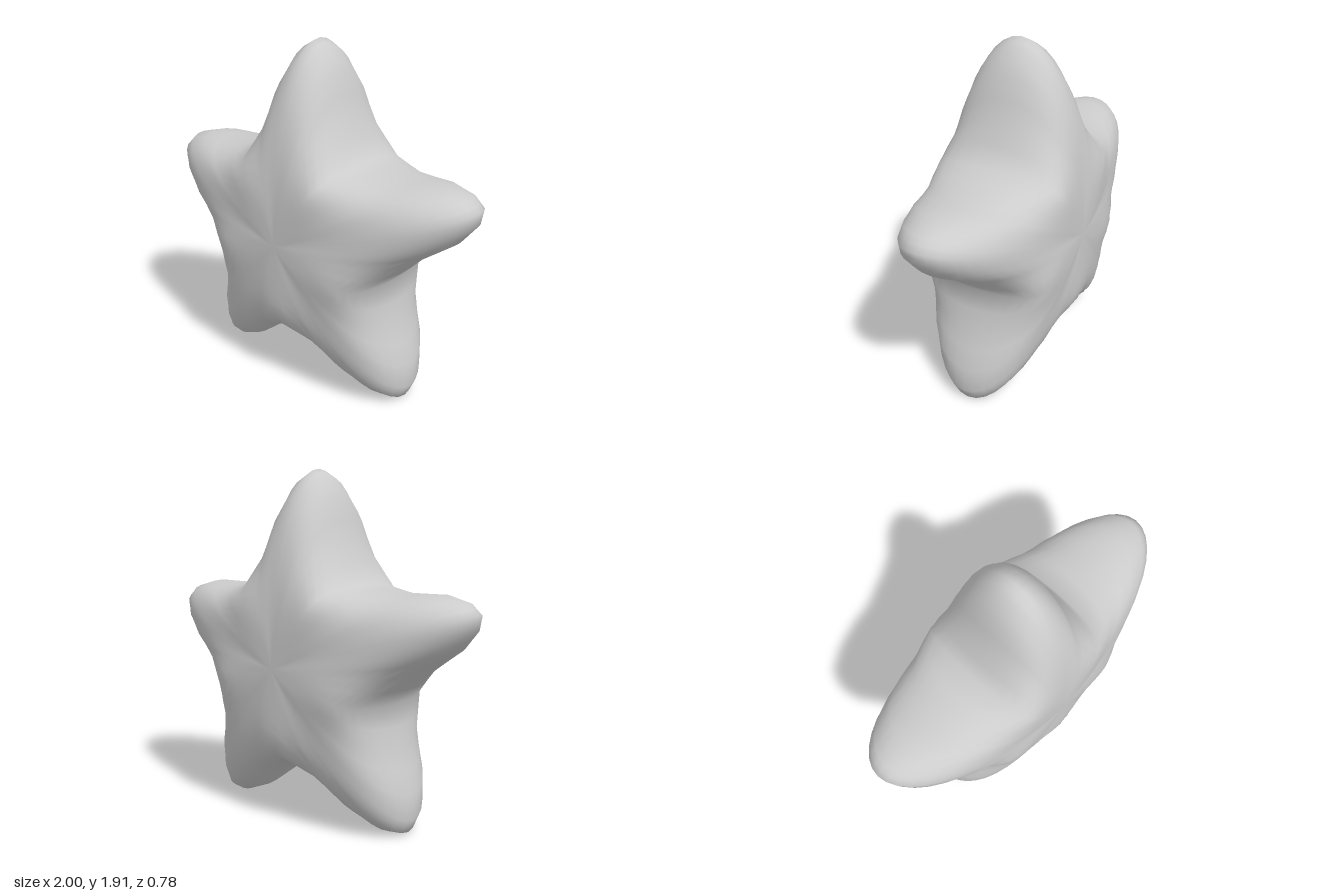
import * as THREE from 'three';

const CENTRE_Y = 0.86, HALF_DEPTH = 0.388, ARMS = 5, RINGS = 24;

// Half of one arm's outline, tip to valley: [sideways offset, distance along the arm]
const HALF_ARM = [[0, 1.05], [0.07, 1.01], [0.145, 0.89], [0.215, 0.66], [0.32, 0.445]];

// Star outline as points with a 0..1 "valley" weight, counter-clockwise from the top tip
function starOutline() {
  const half = [];
  for (let i = 0; i < HALF_ARM.length - 1; i++) {
    for (const t of [0, 0.5]) {
      const [a, b] = [HALF_ARM[i], HALF_ARM[i + 1]];
      half.push([a[0] + (b[0] - a[0]) * t, a[1] + (b[1] - a[1]) * t]);
    }
  }
  half.push(HALF_ARM[HALF_ARM.length - 1]);
  const arm = [...half.slice(1).reverse(), ...half.slice(0, -1).map(([w, r]) => [-w, r])];
  const points = [];
  for (let k = 0; k < ARMS; k++) {
    const turn = (k * 2 * Math.PI) / ARMS;
    for (const [x, y] of arm) {
      const p = new THREE.Vector2(x, y).rotateAround(new THREE.Vector2(), turn);
      const valley = Math.abs(Math.atan2(x, y)) / (Math.PI / ARMS);
      points.push({ x: p.x, y: p.y, valley });
    }
  }
  return points;
}

// Puffy star: the outline shrinks towards a front and a back pole along a rounded profile
function puffyStar() {
  const outline = starOutline(), n = outline.length;
  const pos = [0, 0, HALF_DEPTH], index = [];
  for (let j = 1; j < RINGS; j++) {
    const phi = (j / RINGS) * Math.PI;
    const s = Math.sin(phi);
    for (const { x, y, valley } of outline) {
      // elliptical along the arms, with full faces and steep walls towards the valleys
      const q = 2.1 + 8 * valley ** 2;
      const z = j * 2 === RINGS ? 0 : HALF_DEPTH * Math.sqrt(1 - s ** q) * Math.sign(Math.cos(phi));
      pos.push(x * s, y * s, z);
    }
  }
  pos.push(0, 0, -HALF_DEPTH);
  const last = pos.length / 3 - 1;
  for (let i = 0; i < n; i++) {
    const k = (i + 1) % n;
    index.push(0, 1 + i, 1 + k);
    for (let j = 0; j < RINGS - 2; j++) {
      const a = 1 + j * n, b = a + n;
      index.push(a + i, b + i, b + k, a + i, b + k, a + k);
    }
    const a = 1 + (RINGS - 2) * n;
    index.push(a + i, last, a + k);
  }
  const geo = new THREE.BufferGeometry();
  geo.setAttribute('position', new THREE.Float32BufferAttribute(pos, 3));
  geo.setIndex(index);
  geo.computeVertexNormals();
  return geo;
}

export function createModel() {
  const group = new THREE.Group();
  group.name = 'star';
  const body = new THREE.Mesh(puffyStar(), new THREE.MeshStandardMaterial({ color: 0xcccccc }));
  body.name = 'starBody';
  body.position.y = CENTRE_Y;
  group.add(body);
  return group;
}
